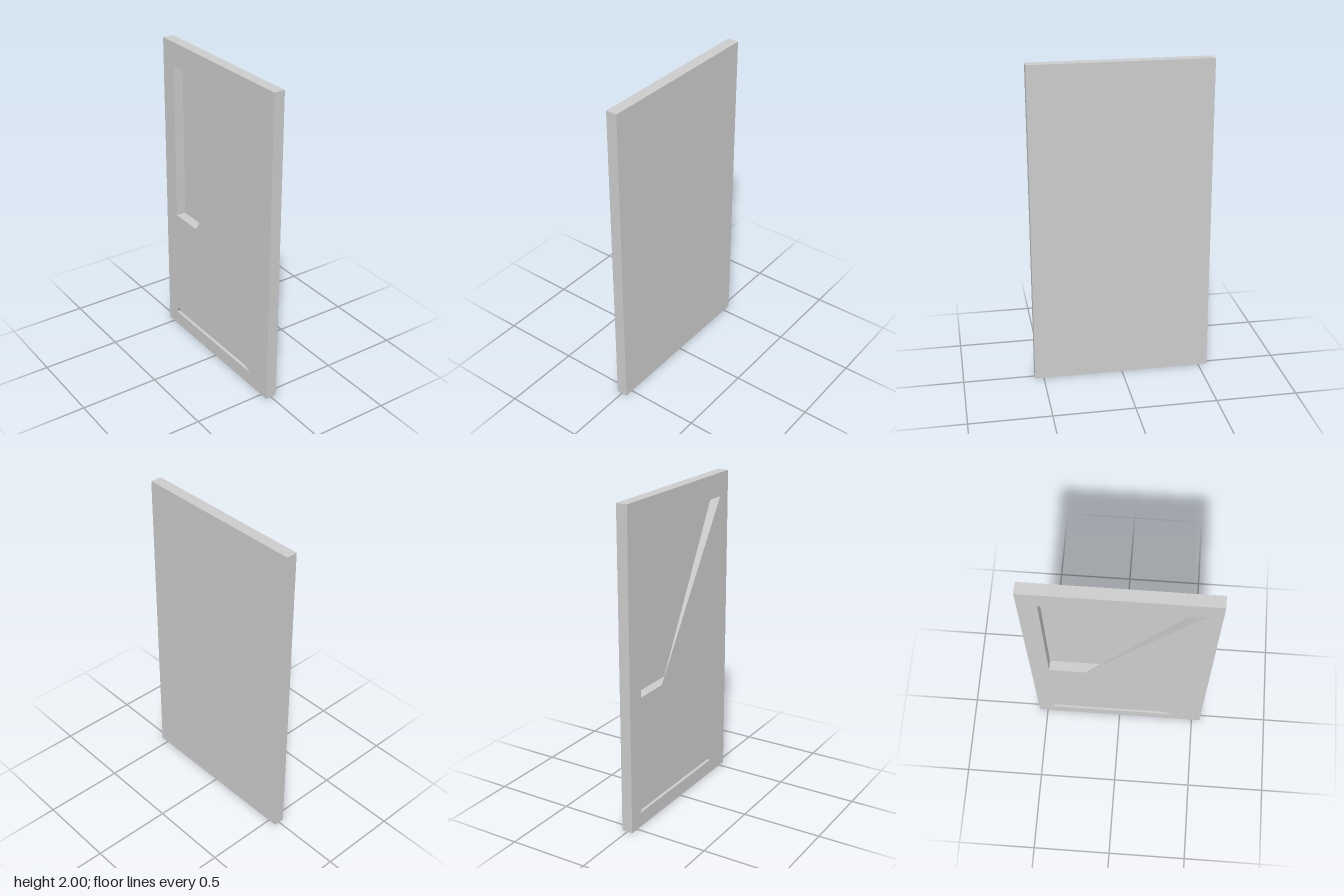
import * as THREE from 'three';

const WIDTH = 1.11, HEIGHT = 2, THICK = 0.07, FACE = THICK / 2;
const material = new THREE.MeshStandardMaterial({ color: 0xcccccc, flatShading: true });

function addMesh(parent, geometry, name) {
  const mesh = new THREE.Mesh(geometry, material);
  mesh.name = name;
  parent.add(mesh);
}

const toVectors = (points) => points.map(([u, y]) => new THREE.Vector2(u, y));

// Walls running from the opening's outline to the outline at the pocket's bottom
function pocketWalls(front, back, depth) {
  const p = [];
  front.forEach((a, i) => {
    const j = (i + 1) % front.length;
    const A = [...a, FACE], B = [...front[j], FACE];
    const C = [...back[j], FACE - depth], D = [...back[i], FACE - depth];
    p.push(...A, ...B, ...C, ...A, ...C, ...D);
  });
  const geometry = new THREE.BufferGeometry();
  geometry.setAttribute('position', new THREE.Float32BufferAttribute(p, 3));
  geometry.computeVertexNormals();
  return geometry;
}

export function createModel() {
  const group = new THREE.Group();
  group.name = 'panel';

  // Drawn facing +z, then turned so the recessed face looks towards -x
  const board = new THREE.Group();
  board.name = 'board';
  board.rotation.y = -Math.PI / 2;
  group.add(board);

  // Outlines run counter-clockwise; the large pocket is undercut on its slanted side
  const pockets = [
    {
      name: 'largeRecess', depth: 0.062,
      front: [[-0.44, 0.84], [-0.216, 0.84], [0.462, 1.854], [-0.44, 1.854]],
      back: [[-0.44, 0.84], [0, 0.84], [0.462, 1.854], [-0.44, 1.854]],
    },
    {
      name: 'lowerSlot', depth: 0.02,
      front: [[-0.462, 0.093], [0.38, 0.093], [0.288, 0.138], [-0.437, 0.138]],
    },
  ];

  // Plain sides of the slab, without the recessed face
  const slab = new THREE.BoxGeometry(WIDTH, HEIGHT, THICK);
  const index = Array.from(slab.index.array);
  index.splice(24, 6);
  slab.setIndex(index);
  slab.clearGroups();
  slab.translate(0, HEIGHT / 2, 0);
  addMesh(board, slab, 'slab');

  // Face with the two openings
  const w = WIDTH / 2;
  const faceShape = new THREE.Shape(toVectors([[-w, 0], [w, 0], [w, HEIGHT], [-w, HEIGHT]]));
  for (const { front } of pockets) faceShape.holes.push(new THREE.Path(toVectors(front)));
  addMesh(board, new THREE.ShapeGeometry(faceShape).translate(0, 0, FACE), 'recessedFace');

  // Pocket walls and bottoms
  for (const { name, depth, front, back = front } of pockets) {
    addMesh(board, pocketWalls(front, back, depth), name + 'Walls');
    const bottom = new THREE.ShapeGeometry(new THREE.Shape(toVectors(back)));
    addMesh(board, bottom.translate(0, 0, FACE - depth), name + 'Bottom');
  }
  return group;
}
